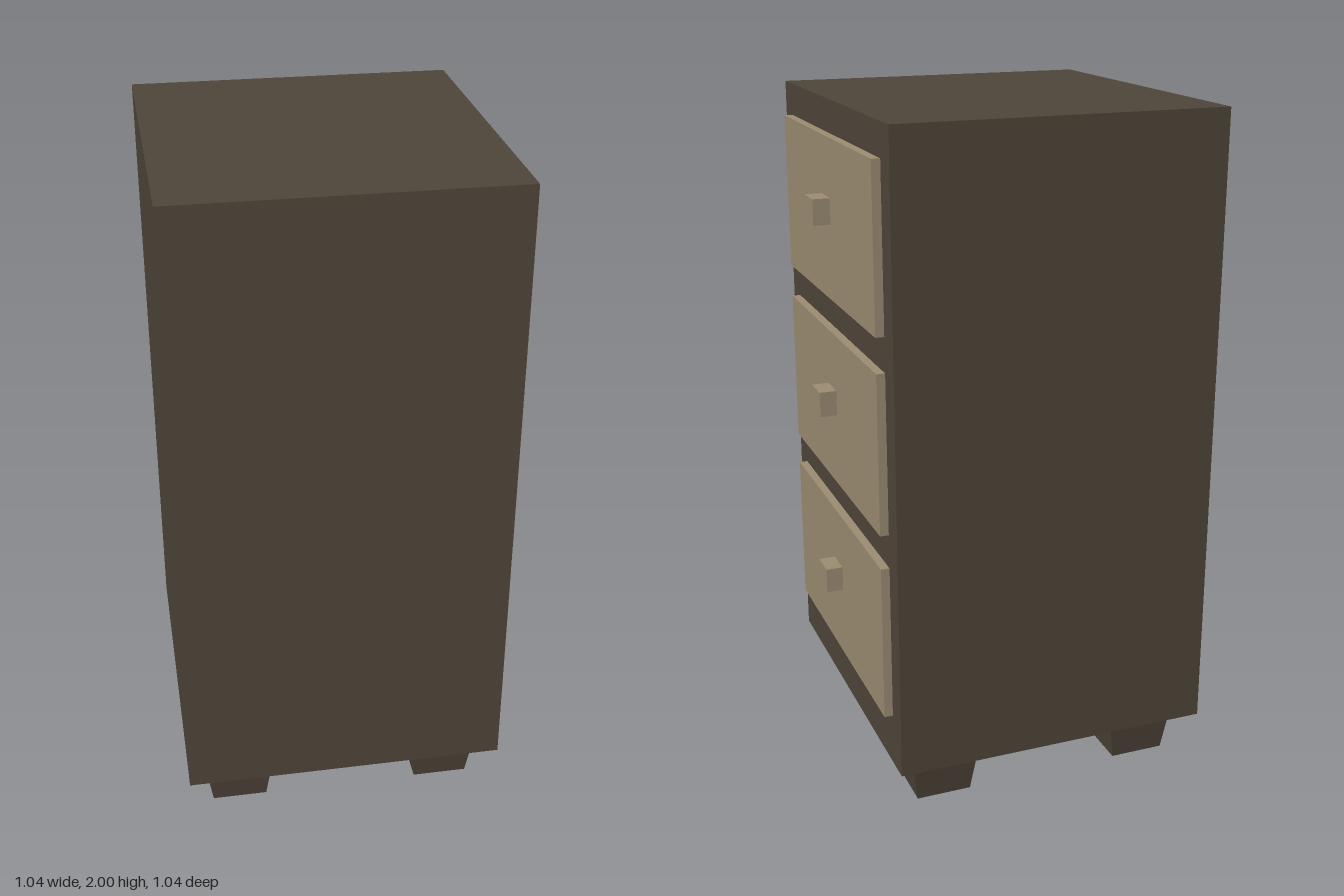
import * as THREE from 'three';

export function createModel() {
  const group = new THREE.Group();
  group.name = 'drawerCabinet';

  const darkWood = new THREE.MeshStandardMaterial({ color: 0x50463a });
  darkWood.name = 'darkWood';
  const paleWood = new THREE.MeshStandardMaterial({ color: 0x9d8e73 });
  paleWood.name = 'paleWood';

  const add = (name, geometry, material, x, y, z) => {
    const mesh = new THREE.Mesh(geometry, material);
    mesh.name = name;
    mesh.position.set(x, y, z);
    group.add(mesh);
    return mesh;
  };

  // Carcass
  add('cabinetBody', new THREE.BoxGeometry(0.96, 1.85, 1.042), darkWood, -0.038, 1.075, 0);

  // Three drawer fronts on the +x side, each with a square knob
  const drawerGeometry = new THREE.BoxGeometry(0.026, 0.466, 0.894);
  const knobGeometry = new THREE.BoxGeometry(0.05, 0.075, 0.084);
  for (let i = 0; i < 3; i++) {
    const y = 0.541 + i * 0.566;
    add('drawerFront', drawerGeometry, paleWood, 0.454, y, 0);
    add('drawerKnob', knobGeometry, paleWood, 0.492, y + 0.026, 0);
  }

  // Four tapered feet, narrowing to the floor
  const footGeometry = new THREE.BoxGeometry(0.21, 0.15, 0.16).toNonIndexed();
  const p = footGeometry.attributes.position;
  for (let i = 0; i < p.count; i++) {
    if (p.getY(i) < 0) {
      p.setX(i, p.getX(i) * 0.79);
      p.setZ(i, p.getZ(i) * 0.84 - 0.007);
    }
  }
  footGeometry.computeVertexNormals();
  for (const x of [-0.36, 0.282]) {
    for (const side of [1, -1]) {
      const foot = add('foot', footGeometry, darkWood, x, 0.075, side * 0.369);
      if (side < 0) foot.rotation.y = Math.PI;
    }
  }

  return group;
}
